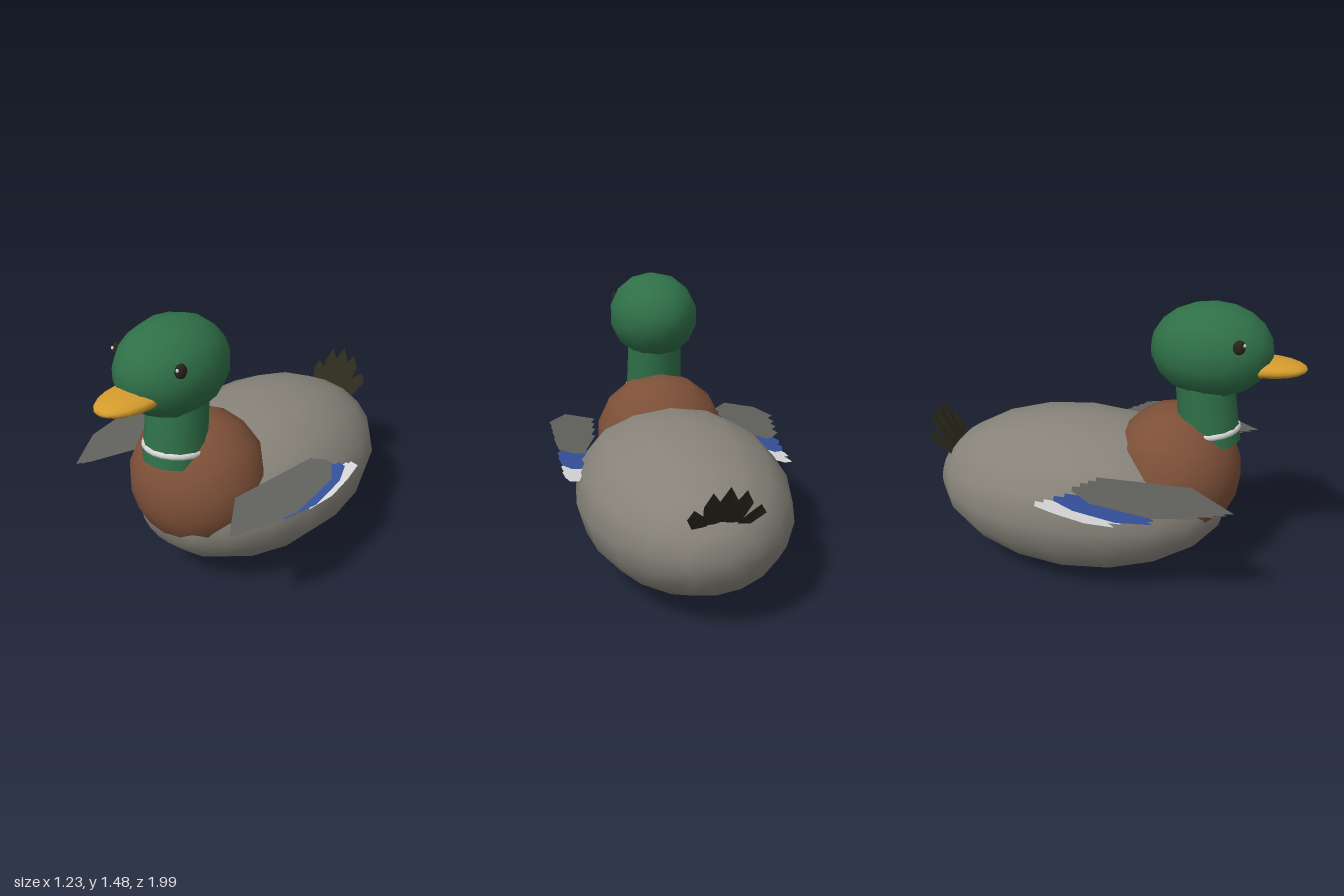
import * as THREE from 'three';

const mat = (name, color, side = THREE.FrontSide) => {
  const m = new THREE.MeshStandardMaterial({ color, side });
  m.name = name;
  return m;
};

export function createModel() {
  const duck = new THREE.Group();
  duck.name = 'duck';

  const grey = mat('bodyGrey', 0x87837a);
  const brown = mat('breastBrown', 0x7d5038);
  const green = mat('headGreen', 0x2f7048);
  const yellow = mat('billYellow', 0xd49b2d);
  const dark = mat('eyeDark', 0x2a241c);
  const white = mat('white', 0xd6d6d6, THREE.DoubleSide);
  const slate = mat('wingGrey', 0x60615c, THREE.DoubleSide);
  const blue = mat('wingBlue', 0x34509a, THREE.DoubleSide);
  const black = mat('tailBlack', 0x2b2a1c, THREE.DoubleSide);

  const add = (parent, name, geometry, material) => {
    const mesh = new THREE.Mesh(geometry, material);
    mesh.name = name;
    parent.add(mesh);
    return mesh;
  };

  // Ellipsoid with its poles on the z axis
  const ellipsoid = (name, material, pos, radii, around, along) => {
    const g = new THREE.SphereGeometry(1, around, along).rotateX(Math.PI / 2);
    if (around % 4) g.rotateZ(Math.PI / 2); // keep a vertex on top
    g.scale(...radii);
    const mesh = add(duck, name, g, material);
    mesh.position.set(...pos);
    return mesh;
  };

  // Flat outline in (u, v), placed in space by a rule
  const plate = (parent, name, points, place, material) => {
    const g = new THREE.ShapeGeometry(new THREE.Shape(points.map(p => new THREE.Vector2(...p))));
    const p = g.attributes.position;
    for (let i = 0; i < p.count; i++) p.setXYZ(i, ...place(p.getX(i), p.getY(i)));
    g.computeVertexNormals();
    return add(parent, name, g, material);
  };

  // Body, breast and head
  ellipsoid('body', grey, [0, 0.417, -0.14], [0.553, 0.417, 0.8], 16, 10);
  ellipsoid('breast', brown, [0, 0.575, 0.37], [0.365, 0.36, 0.342], 14, 10);
  ellipsoid('head', green, [0, 1.243, 0.53], [0.245, 0.237, 0.303], 14, 10);

  // Neck leaning back, with a pale collar
  const neck = new THREE.Group();
  neck.name = 'neck';
  neck.position.set(0, 0.825, 0.533);
  neck.rotation.x = -0.12;
  duck.add(neck);
  add(neck, 'neckColumn', new THREE.CylinderGeometry(0.148, 0.158, 0.36, 14).translate(0, 0.11, 0), green);
  add(neck, 'collar', new THREE.TorusGeometry(0.147, 0.018, 8, 20).rotateX(Math.PI / 2), white);

  // Bill
  ellipsoid('bill', yellow, [0, 1.178, 0.785], [0.128, 0.047, 0.212], 16, 10);

  for (const s of [1, -1]) {
    const side = s > 0 ? 'left' : 'right';

    // Eyes with a small highlight
    const eye = ellipsoid(side + 'Eye', dark, [s * 0.193, 1.32, 0.684], [0.019, 0.037, 0.03], 12, 8);
    eye.rotation.y = -s * 0.35;
    ellipsoid(side + 'EyeGlint', white, [s * 0.196, 1.333, 0.709], [0.008, 0.009, 0.007], 8, 6);

    // Wing: overlapping feathers sloping down to the front
    const wing = new THREE.Group();
    wing.name = side + 'Wing';
    duck.add(wing);
    // [material, inner x, outer x, front z, back z, front y, back y]
    const feathers = [
      [slate, 0.355, 0.615, 0.745, 0.08, 0.62, 0.712],
      [slate, 0.36, 0.612, 0.71, 0.04, 0.605, 0.69],
      [slate, 0.365, 0.61, 0.66, 0.0, 0.59, 0.672],
      [slate, 0.375, 0.608, 0.59, -0.04, 0.572, 0.65],
      [blue, 0.43, 0.606, 0.38, -0.07, 0.54, 0.62],
      [blue, 0.435, 0.604, 0.37, -0.125, 0.522, 0.6],
      [white, 0.475, 0.602, 0.22, -0.17, 0.513, 0.585],
      [white, 0.485, 0.6, 0.19, -0.215, 0.493, 0.57],
    ];
    feathers.forEach(([material, xi, xo, zf, zb, yf, yb], i) => {
      const mid = (xi + xo) / 2 + 0.015, shoulder = zf - (zf - zb) * 0.34;
      const outline = [[mid, zf], [xo, shoulder], [xo, zb + 0.12],
        [mid + 0.03, zb + 0.01], [mid - 0.015, zb], [xi, shoulder]];
      const place = (x, z) => [s * x, yb + (yf - yb) * (z - zb) / (zf - zb), z];
      plate(wing, 'feather' + (i + 1), outline, place, material);
    });
  }

  // Tail: fan of five raised feathers
  const tail = new THREE.Group();
  tail.name = 'tail';
  duck.add(tail);
  for (let i = -2; i <= 2; i++) {
    const a = Math.abs(i);
    const tip = [i * 0.075, [0.8, 0.775, 0.69][a], [-0.99, -0.983, -0.952][a]];
    const base = [i * 0.05, 0.555, -0.845 - 0.005 * a];
    const outline = [[-0.035, 0], [0.035, 0], [0.043, 0.72], [0, 1], [-0.043, 0.72]];
    // Curves backward as it rises
    const place = (u, v) => [
      base[0] + (tip[0] - base[0]) * v + u,
      base[1] + (tip[1] - base[1]) * v - 0.3 * Math.abs(u) * v,
      base[2] + (tip[2] - base[2]) * v - 0.5 * Math.abs(u) * v,
    ];
    plate(tail, 'tailFeather' + (i + 3), outline, place, black);
  }

  return duck;
}
